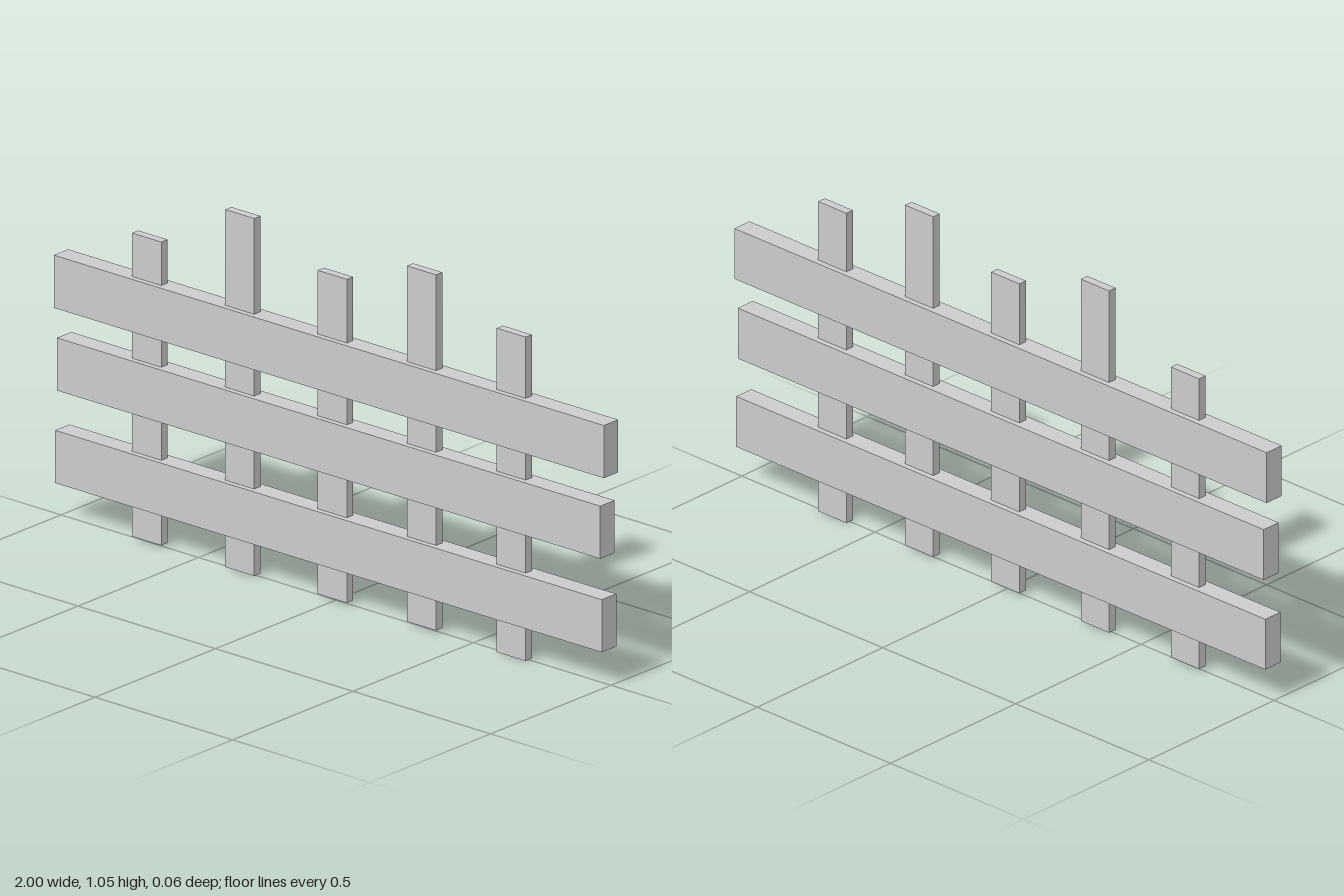
import * as THREE from 'three';

const material = new THREE.MeshStandardMaterial({ color: 0xcccccc, flatShading: true });

// Box spanning x0..x1 and y0..y1, centred on z = 0
function board(name, x0, x1, y0, y1, depth) {
  const mesh = new THREE.Mesh(new THREE.BoxGeometry(x1 - x0, y1 - y0, depth), material);
  mesh.position.set((x0 + x1) / 2, (y0 + y1) / 2, 0);
  mesh.name = name;
  return mesh;
}

export function createModel() {
  const fence = new THREE.Group();
  fence.name = 'fence';

  // Thin upright pickets of uneven height: [centre x, bottom, top]
  const pickets = [
    [-0.677, 0.008, 0.895],
    [-0.339, 0.003, 1.048],
    [-0.002, 0.008, 0.954],
    [0.322, 0.008, 1.048],
    [0.648, 0, 0.947],
  ];
  pickets.forEach(([x, y0, y1], i) => {
    fence.add(board(`picket${i + 1}`, x - 0.053, x + 0.053, y0, y1, 0.026));
  });

  // Thick horizontal rails enclosing the pickets: [left end, right end, bottom, top]
  const rails = [
    ['bottomRail', -0.995, 0.993, 0.103, 0.257],
    ['middleRail', -0.989, 0.987, 0.375, 0.529],
    ['topRail', -1, 1, 0.614, 0.768],
  ];
  for (const [name, x0, x1, y0, y1] of rails) {
    fence.add(board(name, x0, x1, y0, y1, 0.06));
  }

  return fence;
}
